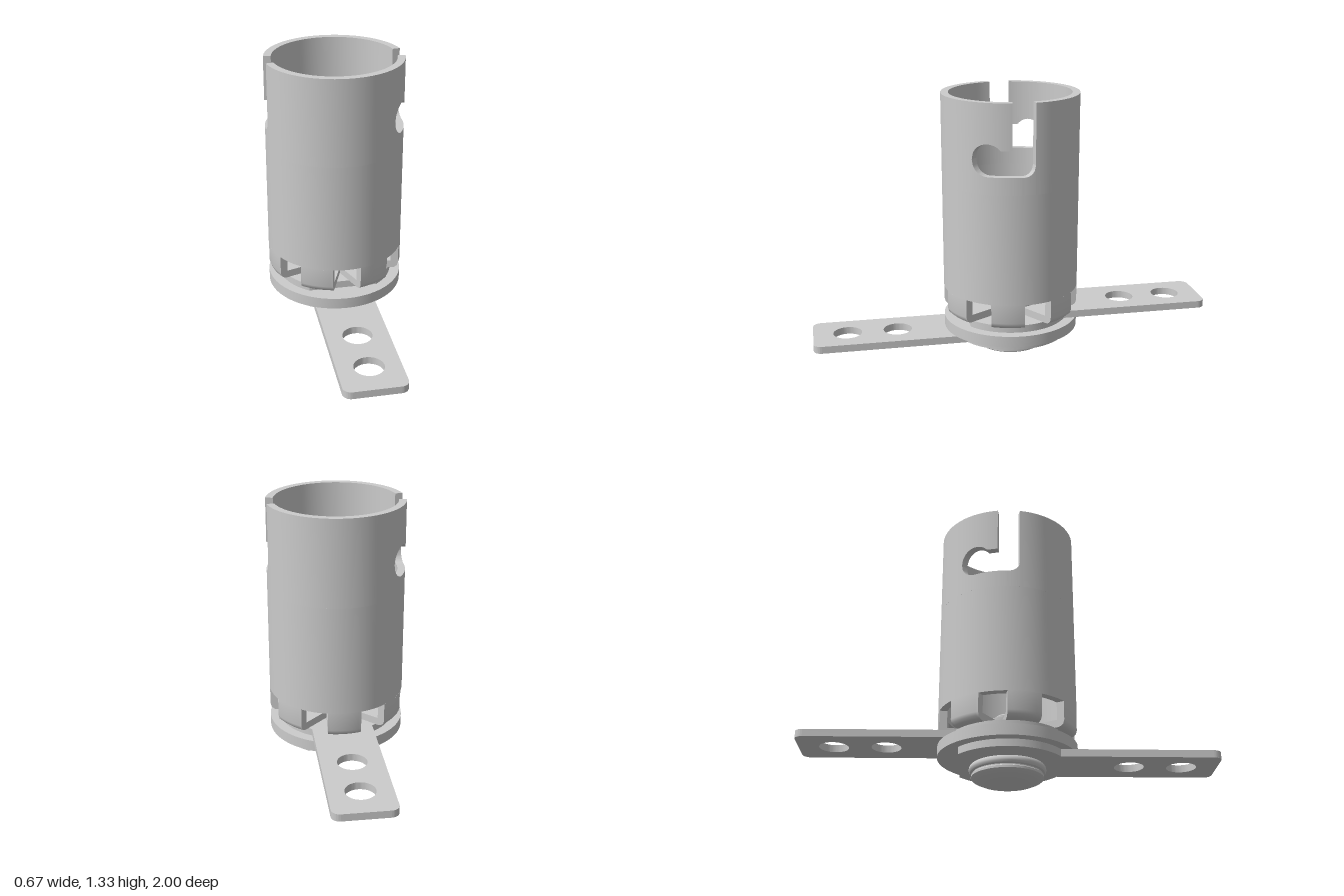
import * as THREE from 'three';
import { toCreasedNormals } from 'three/addons/utils/BufferGeometryUtils.js';

const R = 0.337, RI = 0.3;          // barrel outer and inner radius
const TOP = 1.33, BAND = 0.9, NOTCH_TOP = 0.355;
const PETALS = 7;
const material = new THREE.MeshStandardMaterial({ color: 0xcccccc });

function part(name, geometry, parent) {
  const mesh = new THREE.Mesh(toCreasedNormals(geometry, 0.6), material);
  mesh.name = name;
  parent.add(mesh);
  return mesh;
}

// Solid swept round the y axis; section(u) gives a counter-clockwise loop of [angle, radius, height].
function sweep(steps, section) {
  const pos = [], index = [];
  let n = 0;
  for (let i = 0; i <= steps; i++) {
    const loop = section(i / steps);
    n = loop.length;
    for (const [a, r, y] of loop) pos.push(r * Math.cos(a), y, r * Math.sin(a));
  }
  for (let i = 0; i < steps; i++) {
    for (let j = 0; j < n; j++) {
      const a = i * n + j, b = i * n + (j + 1) % n;
      index.push(a, b, b + n, a, b + n, a + n);
    }
  }
  const outline = section(0.5).map(([, r, y]) => new THREE.Vector2(r, y));
  const end = steps * n;
  for (const [a, b, c] of THREE.ShapeUtils.triangulateShape(outline, [])) {
    index.push(a, c, b, end + a, end + b, end + c);
  }
  const g = new THREE.BufferGeometry();
  g.setAttribute('position', new THREE.Float32BufferAttribute(pos, 3));
  g.setIndex(index);
  return g;
}

// Curved wall between two angles, with lower and upper edges that follow the angle
function wall(from, to, steps, lo, hi) {
  return sweep(steps, u => {
    const a = from + (to - from) * u;
    return [[a, RI, lo(a)], [a, R, lo(a)], [a, R, hi(a)], [a, RI, hi(a)]];
  });
}

// Flat terminal: round plate with one flat side and a drilled tongue towards +z
function terminalGeometry(thickness) {
  const w = 0.15, c = 0.04, r = 0.287, flat = 0.17;
  const join = Math.sqrt(r * r - w * w), cut = Math.sqrt(r * r - flat * flat);
  const s = new THREE.Shape();
  s.moveTo(w, join);
  s.lineTo(w, 1 - c);
  s.absarc(w - c, 1 - c, c, 0, Math.PI / 2, false);
  s.absarc(c - w, 1 - c, c, Math.PI / 2, Math.PI, false);
  s.lineTo(-w, join);
  s.absarc(0, 0, r, Math.atan2(join, -w), Math.PI + Math.atan2(cut, flat), false);
  s.lineTo(flat, -cut);
  s.absarc(0, 0, r, -Math.atan2(cut, flat), Math.atan2(join, w), false);
  for (const z of [0.58, 0.83]) {
    s.holes.push(new THREE.Path().absarc(0, z, 0.071, 0, Math.PI * 2, true));
  }
  const g = new THREE.ExtrudeGeometry(s, { depth: thickness, bevelEnabled: false, curveSegments: 32 });
  return g.rotateX(Math.PI / 2);
}

export function createModel() {
  const model = new THREE.Group();
  model.name = 'bayonetSocket';

  // Barrel: plain middle band
  const barrel = new THREE.Group();
  barrel.name = 'barrel';
  model.add(barrel);
  part('barrelBand', wall(0, Math.PI * 2, 96, () => NOTCH_TOP, () => BAND), barrel);

  // Upper barrel: two opposite hooked slots
  const slot = 0.164, hook = 0.51, hookR = 0.24, hookEnd = hook + hookR;
  const hookY = 1.062, hookH = 0.077, slotFloor = hookY - hookH;
  const bulge = a => hookH * Math.sqrt(Math.max(0, 1 - ((a - hook) / hookR) ** 2));
  const above = a => (a < hook ? Math.max(1.11, hookY + bulge(a)) : hookY + bulge(a));
  const below = a => {
    if (a < 0) return slotFloor + 0.055 * (1 - Math.sqrt(Math.max(0, 1 - (a / slot) ** 2)));
    return a < hook ? slotFloor : hookY - bulge(a);
  };
  for (let k = 0; k < 2; k++) {
    const half = new THREE.Group();
    half.name = 'slottedHalf';
    half.rotation.y = k * Math.PI;
    barrel.add(half);
    part('slotSideWall', wall(hookEnd, Math.PI - slot, 40, () => BAND, () => TOP), half);
    part('wallAboveHook', wall(slot, hookEnd, 40, above, () => TOP), half);
    part('wallBelowHook', wall(-slot, hookEnd, 64, () => BAND, below), half);
  }

  // Base: petals folded inwards, split by wedge-shaped gaps
  const hub = 0.15;
  const profile = [
    [hub, 0.23], [0.305, 0.23], [0.32, 0.234], [0.332, 0.245], [R, 0.262],
    [R, NOTCH_TOP], [RI, NOTCH_TOP], [RI, 0.268], [hub, 0.268],
  ];
  const gap = r => Math.atan(0.374 * (r - hub) / r);
  for (let k = 0; k < PETALS; k++) {
    const mid = Math.PI / 2 + (k + 0.5) * Math.PI * 2 / PETALS;
    part('basePetal', sweep(12, u => profile.map(([r, y]) =>
      [mid + (2 * u - 1) * (Math.PI / PETALS - gap(r)), r, y])), model);
  }

  // Terminals on either side of the insulating washer
  const thickness = 0.036;
  const rear = part('rearTerminal', terminalGeometry(thickness), model);
  rear.rotation.y = Math.PI;
  rear.position.y = 0.231;
  const front = part('frontTerminal', terminalGeometry(thickness), model);
  front.position.y = 0.14;
  const washer = part('insulatingWasher', new THREE.CylinderGeometry(R, R, 0.055, 96), model);
  washer.position.y = 0.1675;

  // Rivet: domed head, rolled collar, shank and inner contact
  const rivet = [
    [0, 0.002], [0.05, 0.004], [0.1, 0.013], [0.14, 0.025], [0.168, 0.038], [0.174, 0.043],
    [0.174, 0.054], [0.168, 0.059], [0.168, 0.064], [0.178, 0.067], [0.184, 0.075], [0.185, 0.083],
    [0.183, 0.093], [0.176, 0.101], [hub, 0.104], [hub, 0.295], [0.125, 0.295], [0.125, 0.31],
    [0.064, 0.31], [0.064, 0.345], [0.055, 0.352], [0, 0.352],
  ].map(([r, y]) => new THREE.Vector2(r, y));
  part('rivet', new THREE.LatheGeometry(rivet, 64), model);

  return model;
}
